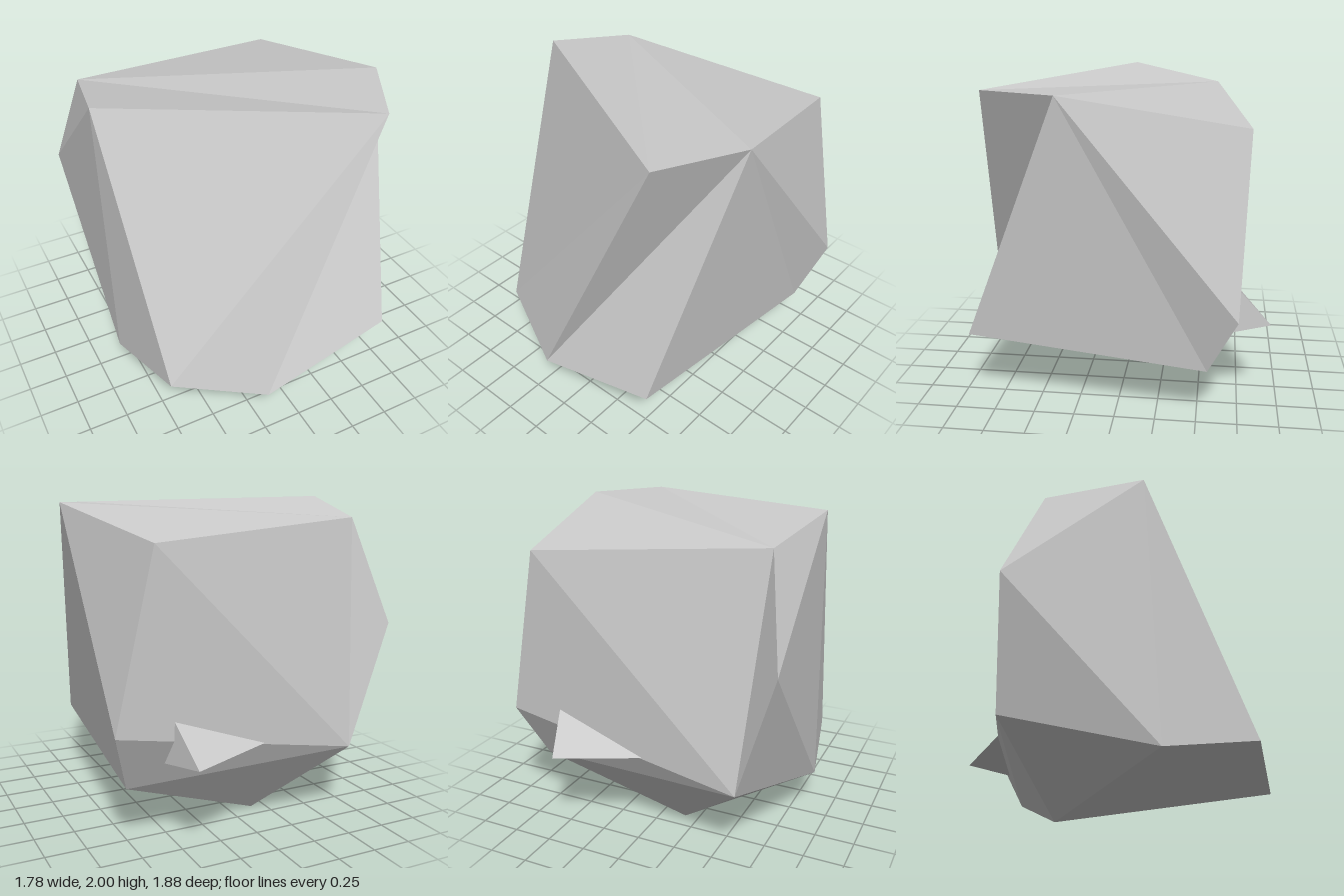
import * as THREE from 'three';

// Build a flat-faceted solid from named corners; each face is a three-letter word,
// wound so that it points away from the given centre.
function facetedSolid(name, corners, faces, centre, material) {
  const c = new THREE.Vector3(...centre);
  const points = [];
  for (const face of faces.split(' ')) {
    const [p, q, r] = [...face].map((k) => new THREE.Vector3(...corners[k]));
    const normal = q.clone().sub(p).cross(r.clone().sub(p));
    const outward = normal.dot(p.clone().sub(c)) > 0;
    points.push(...(outward ? [p, q, r] : [p, r, q]));
  }
  const geometry = new THREE.BufferGeometry().setFromPoints(points);
  geometry.computeVertexNormals();
  const mesh = new THREE.Mesh(geometry, material);
  mesh.name = name;
  return mesh;
}

export function createModel() {
  const group = new THREE.Group();
  group.name = 'rock';
  const stone = new THREE.MeshStandardMaterial({ color: 0xcccccc, flatShading: true });

  // Main boulder
  const boulder = {
    // top rim
    A: [-0.88, 2.0, 0.04], B: [0.59, 1.96, 0.79], C: [0.86, 1.97, 0.3],
    D: [0.66, 1.78, -0.77], E: [-0.76, 1.88, -0.56],
    // lower front
    F: [-0.2, 0.22, 0.94], G: [0.66, 0.46, 0.92], H: [-0.76, 0.35, 0.7],
    // underside tip and lower corners
    I: [-0.16, 0, -0.39], J: [0.77, 0.35, -0.56], K: [0.89, 0.72, -0.73],
    L: [-0.88, 0.24, 0.11], M: [-0.89, 1.24, -0.8], O: [-0.65, 0.46, -0.77],
  };
  const boulderFaces = [
    'EAB EBC ECD', // top
    'ABH BFH BCF CGF', // front, with the notch strip
    'CGJ CJK CKD', // +x side
    'DEO DKO JKO EMO', // back
    'EMA AML MLO ALH', // -x side
    'JOI LOI HLI HIF FIJ FGJ', // underside
  ].join(' ');
  group.add(facetedSolid('boulder', boulder, boulderFaces, [0, 1, 0], stone));

  // Shard jutting out of the back; its base corners are sunk into the boulder
  const tip = new THREE.Vector3(0.48, 0.54, -0.94);
  const sunk = (x, y, z) =>
    new THREE.Vector3(x, y, z).sub(tip).multiplyScalar(1.12).add(tip).toArray();
  const shard = {
    T: tip.toArray(),
    P: sunk(0.54, 0.78, -0.74),
    Q: sunk(-0.04, 0.57, -0.755),
    R: sunk(0.57, 0.51, -0.66),
  };
  group.add(facetedSolid('shard', shard, 'TPQ TQR TRP PQR', [0.39, 0.6, -0.77], stone));

  return group;
}
